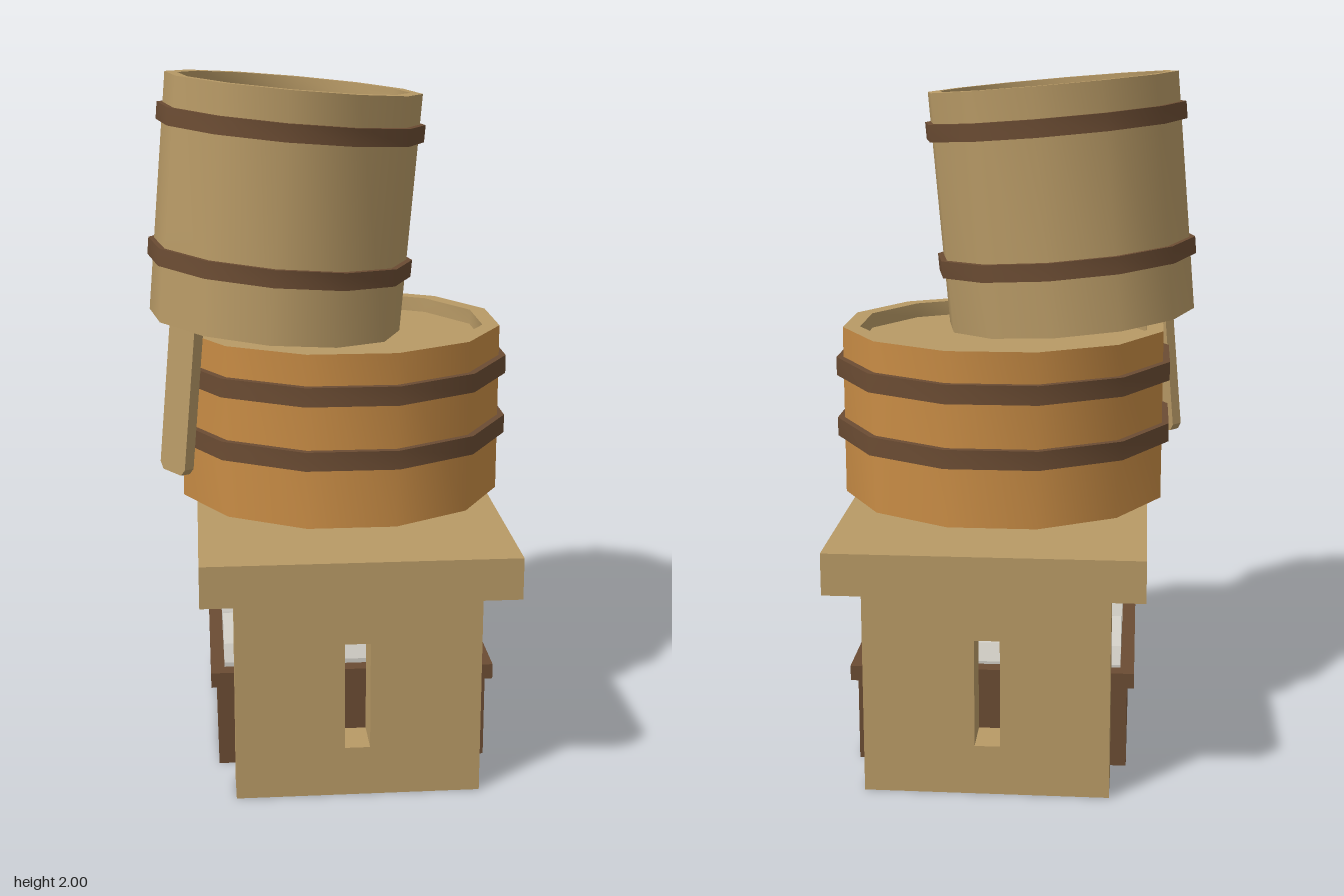
import * as THREE from 'three';
import { toCreasedNormals } from 'three/addons/utils/BufferGeometryUtils.js';

const deg = Math.PI / 180;

export function createModel() {
  const mat = (name, color) => Object.assign(new THREE.MeshStandardMaterial({ color }), { name });
  const tan = mat('tan wood', 0xb89a66);
  const orange = mat('orange wood', 0xc88c45);
  const brown = mat('dark brown wood', 0x6b4c33);
  const pale = mat('pale cloth', 0xcfccc4);

  const model = new THREE.Group();
  model.name = 'barrelsOnTable';

  const add = (parent, name, geometry, material, x = 0, y = 0, z = 0) => {
    const mesh = new THREE.Mesh(geometry, material);
    mesh.name = name;
    mesh.position.set(x, y, z);
    parent.add(mesh);
    return mesh;
  };
  // box from its lower and upper corners
  const box = (parent, name, material, a, b) => add(parent, name,
    new THREE.BoxGeometry(b[0] - a[0], b[1] - a[1], b[2] - a[2]), material,
    (a[0] + b[0]) / 2, (a[1] + b[1]) / 2, (a[2] + b[2]) / 2);
  // twelve-sided turned part, smooth round the axis and sharp at the rims
  const turned = (parent, name, material, profile, turn) => {
    const points = profile.map(([r, y]) => new THREE.Vector2(r, y));
    const mesh = add(parent, name, toCreasedNormals(new THREE.LatheGeometry(points, 12), 40 * deg), material);
    mesh.rotation.y = turn * deg;
    return mesh;
  };
  const hoop = (parent, y0, y1, inner, outer, turn) => turned(parent, 'hoop', brown,
    [[inner, y0], [outer, y0], [outer, y1], [inner, y1], [inner, y0]], turn);

  // Table: thick top on two slab legs with a slot in each
  const table = new THREE.Group();
  table.name = 'table';
  model.add(table);
  box(table, 'tableTop', tan, [-0.4, 0.61, -0.69], [0.485, 0.73, 0.69]);
  const rect = (Type, x0, y0, x1, y1) => new Type([[x0, y0], [x1, y0], [x1, y1], [x0, y1]]
    .map(([x, y]) => new THREE.Vector2(x, y)));
  const legShape = rect(THREE.Shape, -0.305, 0, 0.39, 0.61);
  legShape.holes.push(rect(THREE.Path, 0.003, 0.145, 0.075, 0.46));
  const legGeometry = new THREE.ExtrudeGeometry(legShape, { depth: 0.125, bevelEnabled: false });
  add(table, 'frontLeg', legGeometry, tan, 0, 0, 0.485);
  add(table, 'backLeg', legGeometry, tan, 0, 0, -0.61);

  // Crate with a raised rim and two rounded bundles
  const crate = new THREE.Group();
  crate.name = 'crate';
  model.add(crate);
  box(crate, 'crateBody', brown, [-0.35, 0, -0.4], [0.44, 0.25, 0.39]);
  for (const [x0, x1] of [[-0.37, -0.33], [0.42, 0.46]])
    box(crate, 'crateRimSide', brown, [x0, 0.25, -0.415], [x1, 0.295, 0.405]);
  for (const [z0, z1] of [[-0.415, -0.37], [0.36, 0.405]])
    box(crate, 'crateRimEnd', brown, [-0.33, 0.25, z0], [0.42, 0.295, z1]);
  const bundleShape = new THREE.Shape([[-0.155, 0.24], [0.155, 0.24], [0.155, 0.295], [0.127, 0.343],
    [0, 0.39], [-0.127, 0.343], [-0.155, 0.295]].map(([x, y]) => new THREE.Vector2(x, y)));
  const bundleGeometry = new THREE.ExtrudeGeometry(bundleShape, { depth: 0.75, bevelEnabled: false });
  for (const z of [0.175, -0.195]) {
    const bundle = add(crate, 'bundle', bundleGeometry, pale, -0.33, 0, z);
    bundle.rotation.y = Math.PI / 2;
  }

  // Wide lower tub: outer staves, pale rim and sunken lid
  const tub = new THREE.Group();
  tub.name = 'lowerTub';
  tub.position.set(0.035, 0, -0.017);
  model.add(tub);
  turned(tub, 'tubStaves', orange, [[0, 0.75], [0.491, 0.75], [0.491, 1.255]], 15);
  turned(tub, 'tubLid', tan, [[0.491, 1.255], [0.44, 1.255], [0.44, 1.21], [0, 1.21]], 15);
  hoop(tub, 1.11, 1.165, 0.48, 0.512, 15);
  hoop(tub, 0.925, 0.98, 0.48, 0.512, 15);

  // Leaning upper barrel
  const barrel = new THREE.Group();
  barrel.name = 'upperBarrel';
  barrel.position.set(-0.128, 1.617, 0.035);
  barrel.rotation.z = -5 * deg;
  model.add(barrel);
  turned(barrel, 'barrelBody', tan,
    [[0, -0.35], [0.375, -0.35], [0.375, 0.35], [0.338, 0.35], [0.338, 0.305], [0, 0.305]], -5);
  hoop(barrel, 0.212, 0.262, 0.365, 0.392, -5);
  hoop(barrel, -0.185, -0.135, 0.365, 0.392, -5);

  // Long stave hanging below the barrel, with clipped lower corners
  const staveShape = new THREE.Shape([[-0.04, -0.775], [0.04, -0.775], [0.055, -0.755], [0.055, -0.3],
    [-0.055, -0.3], [-0.055, -0.755]].map(([x, y]) => new THREE.Vector2(x, y)));
  const stave = new THREE.Group();
  stave.name = 'longStave';
  stave.rotation.y = -50 * deg;
  barrel.add(stave);
  add(stave, 'stavePlank', new THREE.ExtrudeGeometry(staveShape, { depth: 0.033, bevelEnabled: false }),
    tan, 0, 0, 0.328);

  return model;
}
